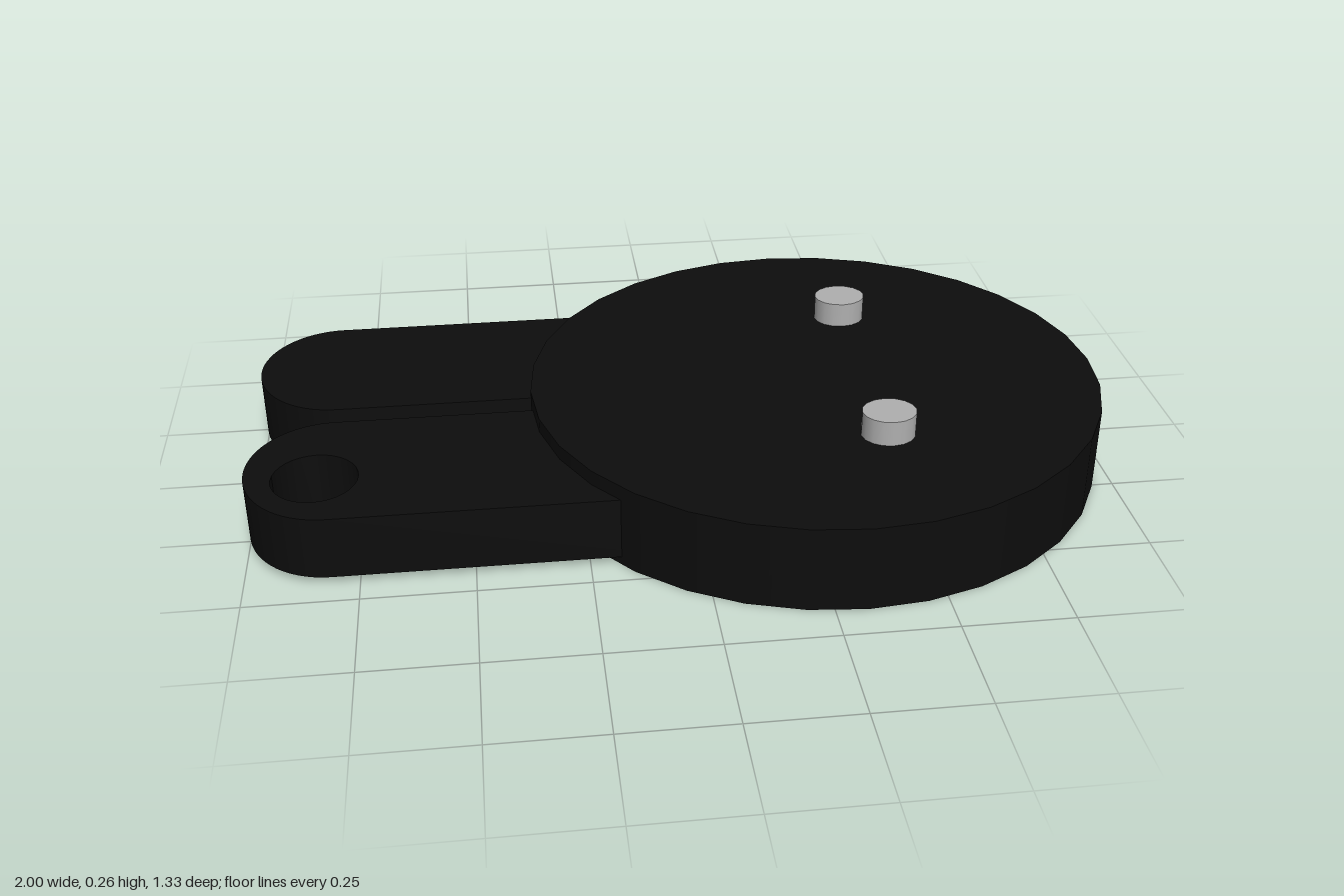
import * as THREE from 'three';

const black = new THREE.MeshStandardMaterial({ name: 'black', color: 0x0d0d0d });
const grey = new THREE.MeshStandardMaterial({ name: 'light grey', color: 0xb0b0b0 });

// Upright, slightly oval cylinder resting at height y0
function ovalCylinder(name, material, x, z, rx, rz, y0, y1, sides) {
  const geometry = new THREE.CylinderGeometry(1, 1, y1 - y0, sides);
  geometry.scale(rx, 1, rz);
  const mesh = new THREE.Mesh(geometry, material);
  mesh.name = name;
  mesh.position.set(x, (y0 + y1) / 2, z);
  return mesh;
}

// Flat arm with a rounded end, running into the disc
function arm(name, z, withHole) {
  const half = 0.206, endX = -0.81, bottom = 0.02, top = 0.168;
  const shape = new THREE.Shape();
  shape.moveTo(-0.1, z - half);
  shape.lineTo(-0.1, z + half);
  shape.lineTo(endX, z + half);
  shape.absellipse(endX, z, 0.19, half, Math.PI / 2, Math.PI * 1.5, false);
  shape.closePath();
  if (withHole) {
    const hole = new THREE.Path();
    hole.absellipse(-0.842, z + 0.036, 0.096, 0.098, 0, Math.PI * 2, true);
    shape.holes.push(hole);
  }
  const geometry = new THREE.ExtrudeGeometry(shape, {
    depth: top - bottom, bevelEnabled: false, curveSegments: 16,
  });
  geometry.rotateX(Math.PI / 2); // shape y becomes z, depth points down
  geometry.translate(0, top, 0);
  const mesh = new THREE.Mesh(geometry, black);
  mesh.name = name;
  return mesh;
}

export function createModel() {
  const group = new THREE.Group();
  group.name = 'discWithArms';

  // Main body
  group.add(ovalCylinder('disc', black, 0.323, 0, 0.677, 0.667, 0, 0.203, 32));

  // Two side-by-side arms, the front one pierced
  group.add(arm('frontArm', 0.234, true));
  group.add(arm('backArm', -0.237, false));

  // Pegs on top of the disc
  group.add(ovalCylinder('frontPeg', grey, 0.437, 0.292, 0.062, 0.055, 0.19, 0.263, 16));
  group.add(ovalCylinder('backPeg', grey, 0.443, -0.298, 0.062, 0.055, 0.19, 0.263, 16));

  return group;
}
